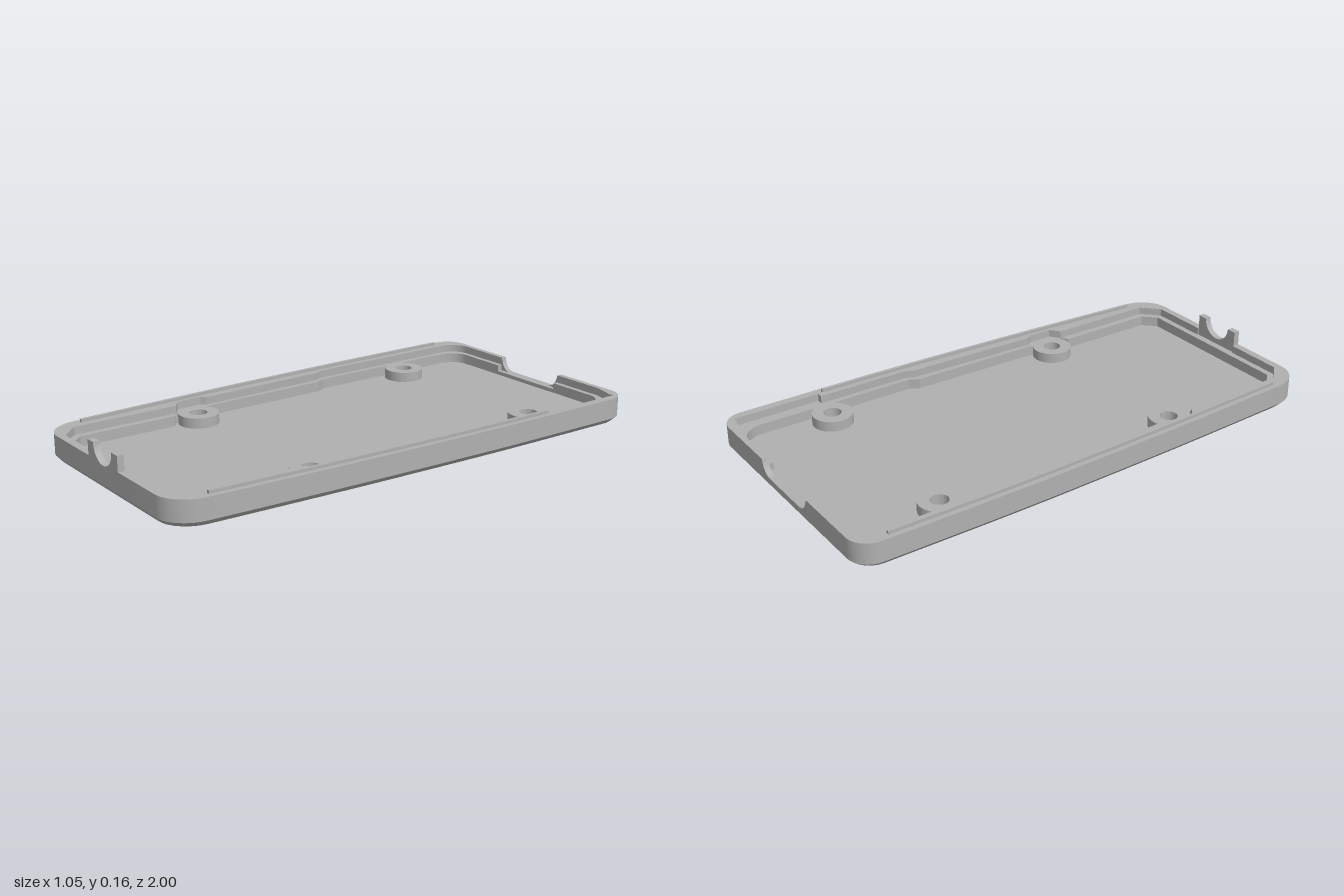
import * as THREE from 'three';
import { toCreasedNormals } from 'three/addons/utils/BufferGeometryUtils.js';

const NOTCH = 0.165, TAB = 0.106, FLOOR = 0.03, RIM = 0.1, LEDGE = 0.07;
const BOSSES = [[-0.378, -0.61], [0.378, -0.61], [-0.37, 0.405], [0.37, 0.405]];

// Points of a rounded corner from a to b around the sharp corner c
function corner(a, c, b, n = 10) {
  const k = 0.55, mix = (p) => new THREE.Vector2(p[0] + (c[0] - p[0]) * k, p[1] + (c[1] - p[1]) * k);
  return new THREE.CubicBezierCurve(new THREE.Vector2(...a), mix(a), mix(b), new THREE.Vector2(...b))
    .getPoints(n).map((p) => [p.x, p.y]);
}

// Tapering outer side line, x as a function of z
const sideCurve = new THREE.SplineCurve([[0.524, -0.915], [0.522, -0.4], [0.512, 0], [0.497, 0.4], [0.472, 0.88]]
  .map((p) => new THREE.Vector2(...p)));
const side = sideCurve.getPoints(24).map((p) => [p.x, p.y]);

// Half outlines as [x, z], running from back to front on the +x side
const outer = [[NOTCH, -1], ...corner([0.44, -1], [0.524, -1], [0.524, -0.915]), ...side.slice(1, -1),
  ...corner([0.472, 0.88], [0.465, 1], [0.355, 1]), [TAB, 1]];
const innerFront = [[0.466, -0.24], [0.45, -0.205], [0.435, 0.33], [0.45, 0.35], [0.45, 0.45], [0.41, 0.48], [0.41, 0.905], [0.345, 0.97]];
const backCorner = corner([0.39, -0.978], [0.468, -0.978], [0.468, -0.89], 8);
const inner = [[NOTCH, -0.978], ...backCorner, ...innerFront, [TAB, 0.97]];
const innerSlotted = [[NOTCH, -0.978], [0.39, -0.978], [0.44, -0.965], [0.466, -0.955], [0.49, -0.955],
  [0.49, -0.61], [0.467, -0.61], ...innerFront, [TAB, 0.97]];
const ledgeInner = [[NOTCH, -0.957], ...corner([0.37, -0.957], [0.445, -0.957], [0.445, -0.87], 8),
  [0.445, -0.235], [0.425, -0.2], [0.415, 0.48], [0.383, 0.5], [0.383, 0.895], [0.335, 0.945], [TAB, 0.945]];

const mirror = (pts) => pts.map(([x, z]) => [-x, z]);
const shapeOf = (pts) => new THREE.Shape(pts.map(([x, z]) => new THREE.Vector2(x, -z)));
const strip = (a, b) => shapeOf([...a, ...[...b].reverse()]);
const closed = (half) => shapeOf([...half, ...mirror(half).reverse()]);

function circleHole(x, z, r) {
  return new THREE.Path().absarc(x, -z, r, 0, Math.PI * 2, true);
}

// Extrude a plan shape upwards from y0 to y1
function slab(shape, y0, y1) {
  const g = new THREE.ExtrudeGeometry(shape, { depth: y1 - y0, bevelEnabled: false, curveSegments: 32 });
  return g.rotateX(-Math.PI / 2).translate(0, y0, 0);
}

export function createModel() {
  const group = new THREE.Group();
  const plastic = new THREE.MeshStandardMaterial({ color: 0xb0b0b0 });
  plastic.name = 'grey plastic';
  const add = (name, geometry) => {
    const mesh = new THREE.Mesh(toCreasedNormals(geometry, 0.5), plastic);
    mesh.name = name;
    group.add(mesh);
  };

  // Floor with screw holes
  const plate = closed(outer);
  BOSSES.forEach(([x, z]) => plate.holes.push(circleHole(x, z, 0.034)));
  add('floor', slab(plate, 0.02, FLOOR));

  // Underside: edge drawn in as a chamfer, holes flared as countersinks
  const under = slab(plate, 0, 0.02);
  const pos = under.attributes.position;
  for (let i = 0; i < pos.count; i++) {
    if (pos.getY(i) > 0.01) continue;
    const x = pos.getX(i), z = pos.getZ(i);
    const hole = BOSSES.find(([bx, bz]) => Math.hypot(x - bx, z - bz) < 0.05);
    if (hole) {
      pos.setX(i, hole[0] + (x - hole[0]) * 1.65);
      pos.setZ(i, hole[1] + (z - hole[1]) * 1.65);
    } else {
      pos.setX(i, x * 0.964);
      pos.setZ(i, z * 0.983);
    }
  }
  add('chamferedUnderside', under);

  // Rim walls and inner ledges, one half per side
  for (const left of [true, false]) {
    const flip = left ? (p) => p : mirror;
    const name = left ? 'left' : 'right';
    const wallInner = left ? innerSlotted : inner;
    add(name + 'Wall', slab(strip(flip(outer), flip(wallInner)), FLOOR, RIM));
    add(name + 'Ledge', slab(strip(flip(wallInner), flip(ledgeInner)), FLOOR, LEDGE));

    // Thin locating ridge along the top of the wall
    const start = left ? -0.59 : -0.88;
    const zs = [start, ...side.map((p) => p[1]).filter((z) => z > start + 0.02 && z < 0.84), 0.86];
    const xAt = (z) => {
      const i = Math.max(1, side.findIndex((p) => p[1] >= z));
      const [a, b] = [side[i - 1], side[i]];
      return a[0] + (b[0] - a[0]) * (z - a[1]) / (b[1] - a[1]);
    };
    const ridge = (inset) => flip(zs.map((z) => [xAt(z) - inset, z]));
    add(name + 'Ridge', slab(strip(ridge(0.02), ridge(0.032)), RIM, 0.112));
  }

  // Back sill with a wide round-cornered cable notch
  const sill = new THREE.Shape();
  sill.moveTo(-NOTCH, FLOOR);
  sill.lineTo(NOTCH, FLOOR);
  sill.lineTo(NOTCH, RIM);
  sill.quadraticCurveTo(0.155, 0.046, 0.11, 0.045);
  sill.lineTo(-0.11, 0.045);
  sill.quadraticCurveTo(-0.155, 0.046, -NOTCH, RIM);
  add('backNotchSill', new THREE.ExtrudeGeometry(sill, { depth: 0.022, bevelEnabled: false }).translate(0, 0, -1));
  add('backLedgeSill', new THREE.BoxGeometry(NOTCH * 2, 0.015, 0.021).translate(0, 0.0375, -0.9675));

  // Front cable saddle with a half-round cut
  const saddle = new THREE.Shape();
  saddle.moveTo(-TAB, FLOOR);
  saddle.lineTo(TAB, FLOOR);
  saddle.lineTo(TAB, 0.158);
  saddle.lineTo(0.065, 0.158);
  saddle.absarc(0, 0.158, 0.066, 0, Math.PI, true);
  saddle.lineTo(-TAB, 0.158);
  add('frontCableSaddle', new THREE.ExtrudeGeometry(saddle, { depth: 0.025, bevelEnabled: false, curveSegments: 28 })
    .translate(0, 0, 0.975));
  add('frontLedge', new THREE.BoxGeometry(TAB * 2, LEDGE - FLOOR, 0.03).translate(0, (LEDGE + FLOOR) / 2, 0.96));

  // Screw bosses
  BOSSES.forEach(([x, z], i) => {
    const ring = new THREE.Shape().absarc(x, -z, 0.078, 0, Math.PI * 2, false);
    ring.holes.push(circleHole(x, z, 0.034));
    add('screwBoss' + (i + 1), slab(ring, FLOOR, LEDGE));
  });
  return group;
}
